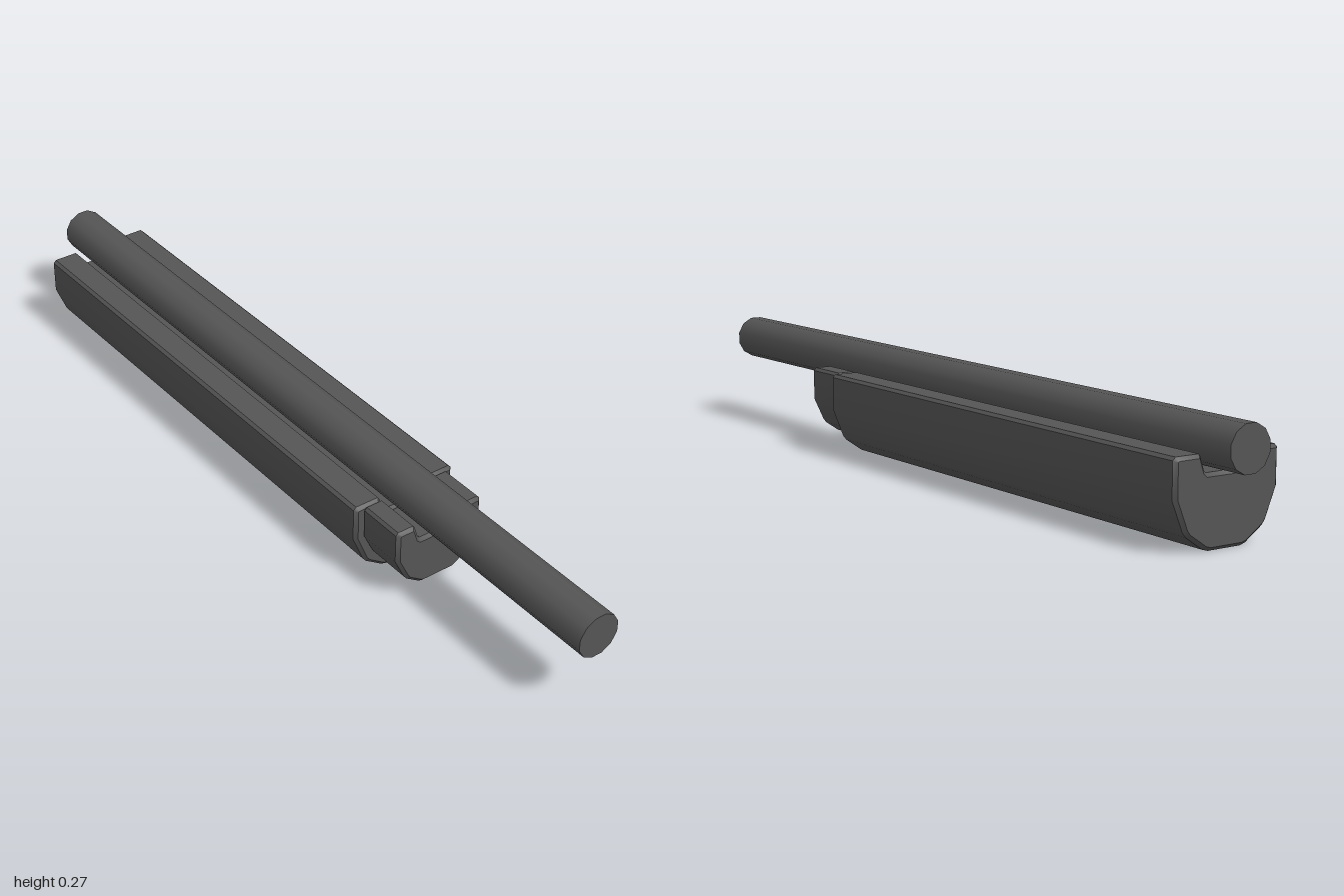
import * as THREE from 'three';
import { toCreasedNormals } from 'three/addons/utils/BufferGeometryUtils.js';

const gunmetal = new THREE.MeshStandardMaterial({ color: 0x555555 });
gunmetal.name = 'dark grey';

// Mirrored cross-section swept along x from x0 to x1, with chamfered ends.
function channel(name, half, x0, x1, bevel) {
  const mirrored = half.map(([z, y]) => [-z, y]).reverse();
  const shape = new THREE.Shape([...half, ...mirrored].map(([z, y]) => new THREE.Vector2(z, y)));
  let geo = new THREE.ExtrudeGeometry(shape, {
    depth: x1 - x0 - 2 * bevel,
    bevelEnabled: true, bevelSegments: 1,
    bevelSize: bevel, bevelThickness: bevel, bevelOffset: -bevel,
  });
  geo.translate(0, 0, x0 + bevel);
  geo.rotateY(Math.PI / 2);
  geo = toCreasedNormals(geo, 0.6);
  const mesh = new THREE.Mesh(geo, gunmetal);
  mesh.name = name;
  return mesh;
}

export function createModel() {
  const group = new THREE.Group();
  group.name = 'barrelAndHandguard';

  // Twelve-sided barrel with a flat on top
  const barrelGeo = new THREE.CylinderGeometry(0.0533, 0.0533, 2, 12, 1, false, Math.PI / 12);
  barrelGeo.rotateZ(Math.PI / 2);
  const barrel = new THREE.Mesh(barrelGeo, gunmetal);
  barrel.name = 'barrel';
  barrel.position.y = 0.214;
  group.add(barrel);

  // Half sections run from the bottom up the outside, then down into the barrel groove
  const groove = [[0.07, 0.2], [0.066, 0.194], [0.056, 0.164], [0.051, 0.16]];
  group.add(channel('handguard', [
    [0.042, 0], [0.056, 0.004], [0.1, 0.034], [0.109, 0.045],
    [0.137, 0.113], [0.137, 0.193], [0.13, 0.2], ...groove,
  ], -0.935, 0.37, 0.008));

  // Narrower cap at the muzzle end of the handguard
  group.add(channel('handguardCap', [
    [0.042, 0.033], [0.05, 0.036], [0.084, 0.059], [0.091, 0.068],
    [0.117, 0.122], [0.117, 0.193], [0.111, 0.2], ...groove,
  ], 0.368, 0.495, 0.008));

  return group;
}
